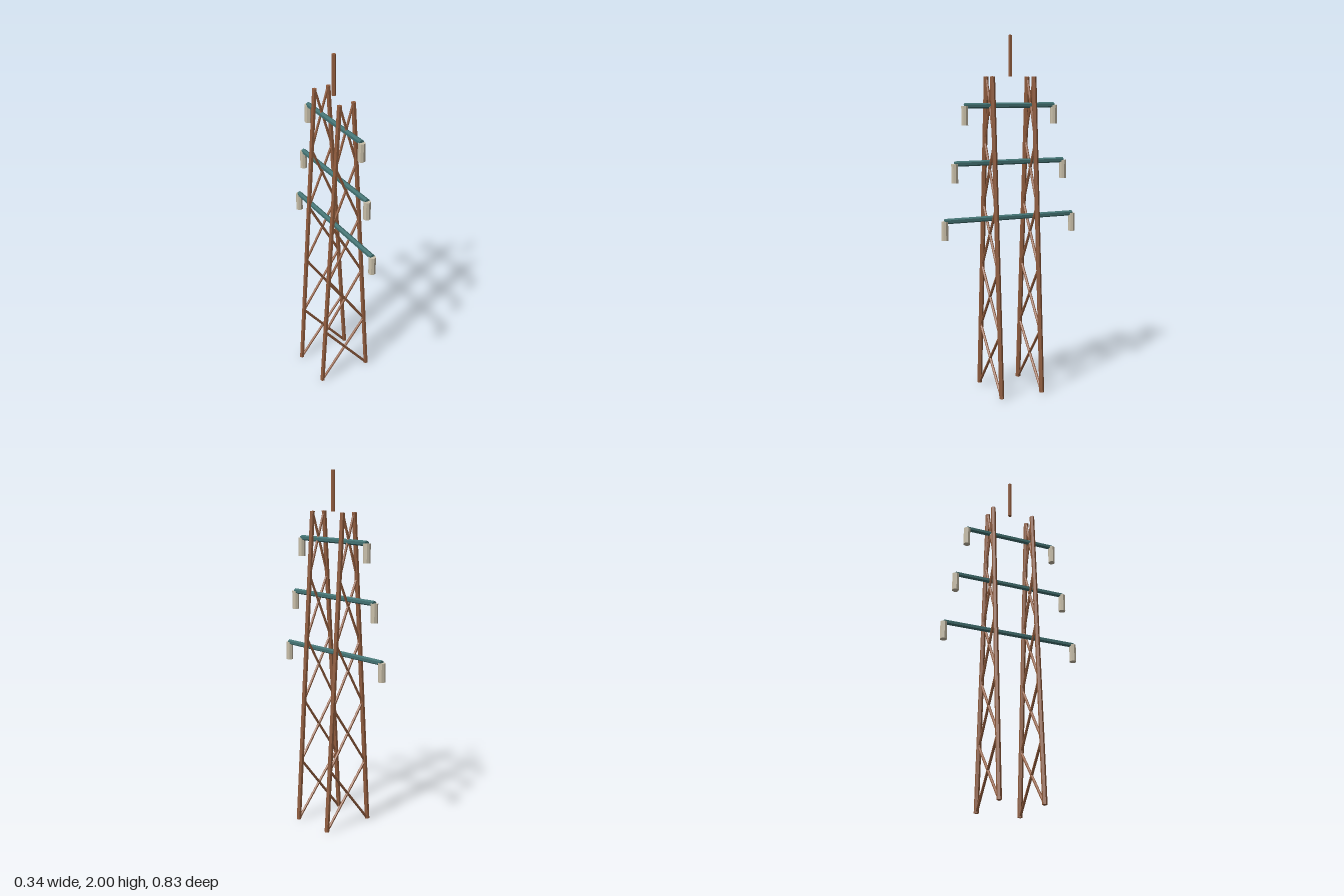
import * as THREE from 'three';

export function createModel() {
  const tower = new THREE.Group();
  tower.name = 'powerPylon';

  const mat = (name, color) => {
    const m = new THREE.MeshStandardMaterial({ color, flatShading: true });
    m.name = name;
    return m;
  };
  const rust = mat('rustBrown', 0x925d3e);
  const teal = mat('teal', 0x437272);
  const cream = mat('cream', 0xc8bea8);

  // straight bar between two points, with a ridge facing up or outward
  const bar = (name, a, b, radius, sides, material, parent = tower) => {
    const start = new THREE.Vector3(...a);
    const end = new THREE.Vector3(...b);
    const geo = new THREE.CylinderGeometry(radius, radius, start.distanceTo(end), sides);
    geo.rotateX(Math.PI / 2);
    const mesh = new THREE.Mesh(geo, material);
    mesh.name = name;
    mesh.position.copy(start).add(end).multiplyScalar(0.5);
    mesh.lookAt(end);
    parent.add(mesh);
  };

  const baseY = 0.002, topY = 1.775, panels = 5;
  const halfWidth = (t) => THREE.MathUtils.lerp(0.155, 0.042, t);
  const height = (t) => THREE.MathUtils.lerp(baseY, topY, t);

  // two flat lattice frames, front and back
  for (const z of [0.125, -0.125]) {
    const frame = new THREE.Group();
    frame.name = z > 0 ? 'frontFrame' : 'backFrame';
    tower.add(frame);
    for (const s of [1, -1]) {
      bar(s > 0 ? 'leftLeg' : 'rightLeg',
        [s * halfWidth(0), baseY, z], [s * halfWidth(1), topY, z], 0.0138, 6, rust, frame);
      // crossed bracing in equal panels
      for (let i = 0; i < panels; i++) {
        const t0 = i / panels, t1 = (i + 1) / panels;
        bar('crossBrace', [s * halfWidth(t0), height(t0), z],
          [-s * halfWidth(t1), height(t1), z], 0.0075, 6, rust, frame);
      }
    }
  }

  // cross arms with a hanging insulator at each end
  for (const [y, reach] of [[0.996, 0.393], [1.307, 0.332], [1.619, 0.271]]) {
    bar('crossArm', [0, y, -reach], [0, y, reach], 0.015, 6, teal);
    for (const z of [reach, -reach]) {
      const insulator = new THREE.Mesh(new THREE.CylinderGeometry(0.02, 0.02, 0.104, 8), cream);
      insulator.name = 'insulator';
      insulator.position.set(0, y - 0.052, z);
      tower.add(insulator);
    }
  }

  // lightning rod above the frames
  bar('topMast', [0, topY, 0], [0, 2, 0], 0.0115, 6, rust);

  return tower;
}
